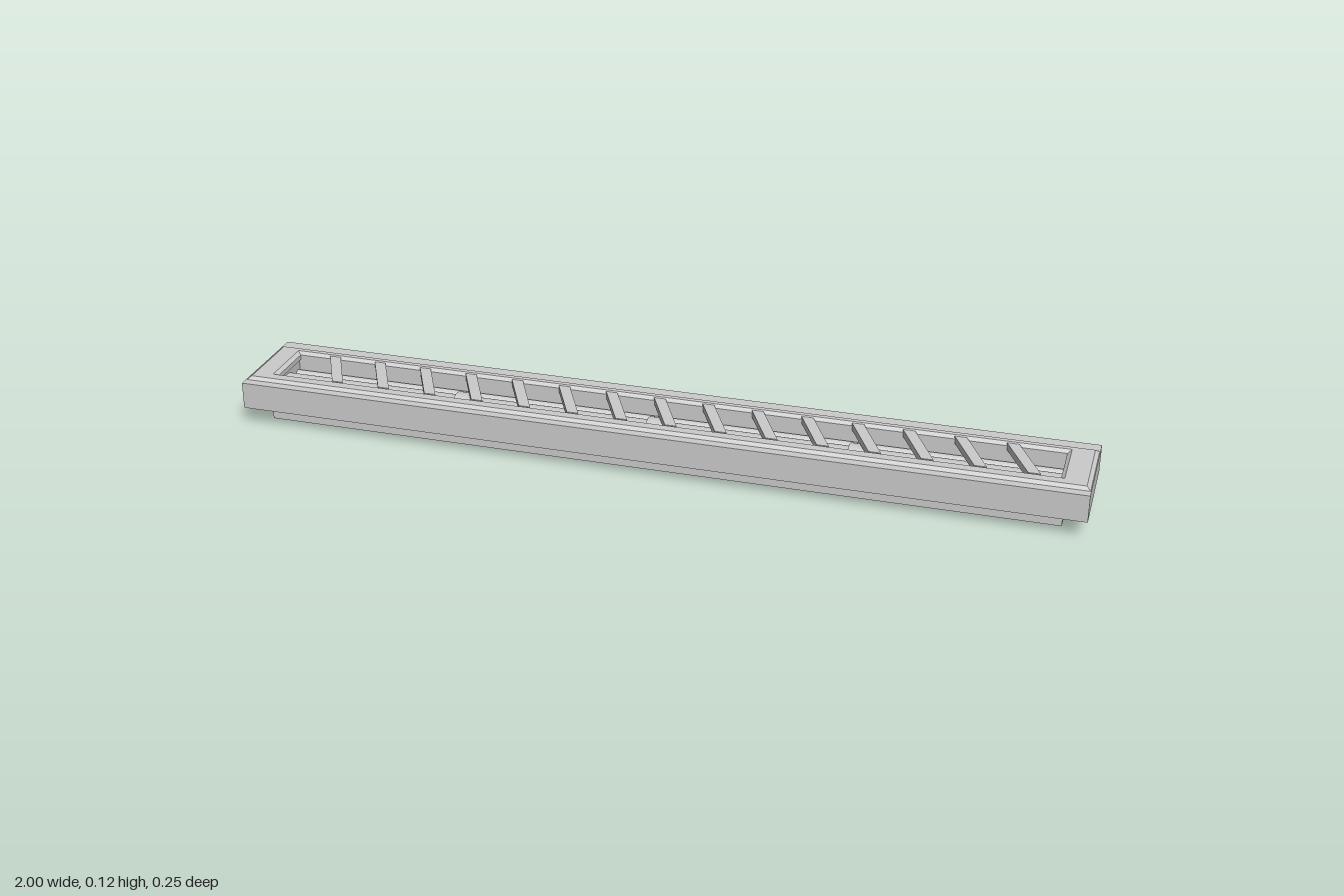
import * as THREE from 'three';

const mat = new THREE.MeshStandardMaterial({ color: 0xcccccc });

function add(parent, name, geo, x = 0, y = 0, z = 0) {
  const m = new THREE.Mesh(geo, mat);
  m.name = name;
  m.position.set(x, y, z);
  parent.add(m);
  return m;
}

const rect = (x0, x1, z0, z1, T = THREE.Shape) => new T([
  new THREE.Vector2(x0, -z1), new THREE.Vector2(x1, -z1),
  new THREE.Vector2(x1, -z0), new THREE.Vector2(x0, -z0)]);

// Flat plan shape (drawn with y = -z) raised from y0 upwards
function slab(parent, name, shape, y0, depth, bevel) {
  const geo = new THREE.ExtrudeGeometry(shape, { depth, bevelEnabled: false, ...bevel });
  return add(parent, name, geo.rotateX(-Math.PI / 2), 0, y0, 0);
}

function frame(o, i) {
  const s = rect(...o);
  s.holes.push(rect(...i, THREE.Path));
  return s;
}

// Box given by its limits
const block = (parent, name, x0, x1, y0, y1, z0, z1) => add(parent, name,
  new THREE.BoxGeometry(x1 - x0, y1 - y0, z1 - z0), (x0 + x1) / 2, (y0 + y1) / 2, (z0 + z1) / 2);

// Cylinder lying along x
const rod = (parent, name, r, length, x, y, z) => add(parent, name,
  new THREE.CylinderGeometry(r, r, length, 40).rotateZ(Math.PI / 2), x, y, z);

export function createModel() {
  const g = new THREE.Group();
  const opening = [-0.935, 0.93, -0.062, 0.062];

  // Upper housing: open-bottomed shell with a long window
  slab(g, 'housingWalls', frame([-1, 1, -0.125, 0.125], [-0.994, 0.994, -0.119, 0.119]), 0.045, 0.055);
  slab(g, 'housingTop', frame([-1, 1, -0.125, 0.125], opening), 0.098, 0.012);

  // Raised cover with chamfered rim
  slab(g, 'coverFrame', frame([-0.998, 0.998, -0.092, 0.103], opening), 0.103, 0.007, {
    bevelEnabled: true, bevelThickness: 0.007, bevelSize: 0.009, bevelOffset: -0.009, bevelSegments: 1 });

  // Slanted slats across the window
  const slats = new THREE.Group();
  slats.name = 'slats';
  g.add(slats);
  for (let i = 0; i < 15; i++) {
    const x = 0.015 + (i - 7) * 0.118, w = 0.014, lean = 0.032, h = 0.065;
    slab(slats, 'slat', new THREE.Shape([
      new THREE.Vector2(x + lean - w, -h), new THREE.Vector2(x + lean + w, -h),
      new THREE.Vector2(x - lean + w, h), new THREE.Vector2(x - lean - w, h)]), 0.099, 0.017);
  }

  // Lower trough, rising inside the housing
  const trough = new THREE.Group();
  trough.name = 'trough';
  g.add(trough);
  slab(trough, 'troughWalls', frame([-0.948, 0.943, -0.068, 0.08], [-0.94, 0.935, -0.063, 0.075]), 0.003, 0.097);
  block(trough, 'troughFloor', -0.945, 0.94, 0.003, 0.008, -0.066, 0.078);

  // Central tube with joint collars, flanked by two thin rods
  const zc = 0.005;
  rod(g, 'tube', 0.04, 1.908, -0.003, 0.048, zc);
  for (const x of [-0.48, -0.005, 0.47]) rod(g, 'collar', 0.048, 0.04, x, 0.048, zc);
  for (const s of [-1, 1]) rod(g, 'sideRod', 0.012, 1.906, -0.003, 0.062, zc + s * 0.056);

  return g;
}
